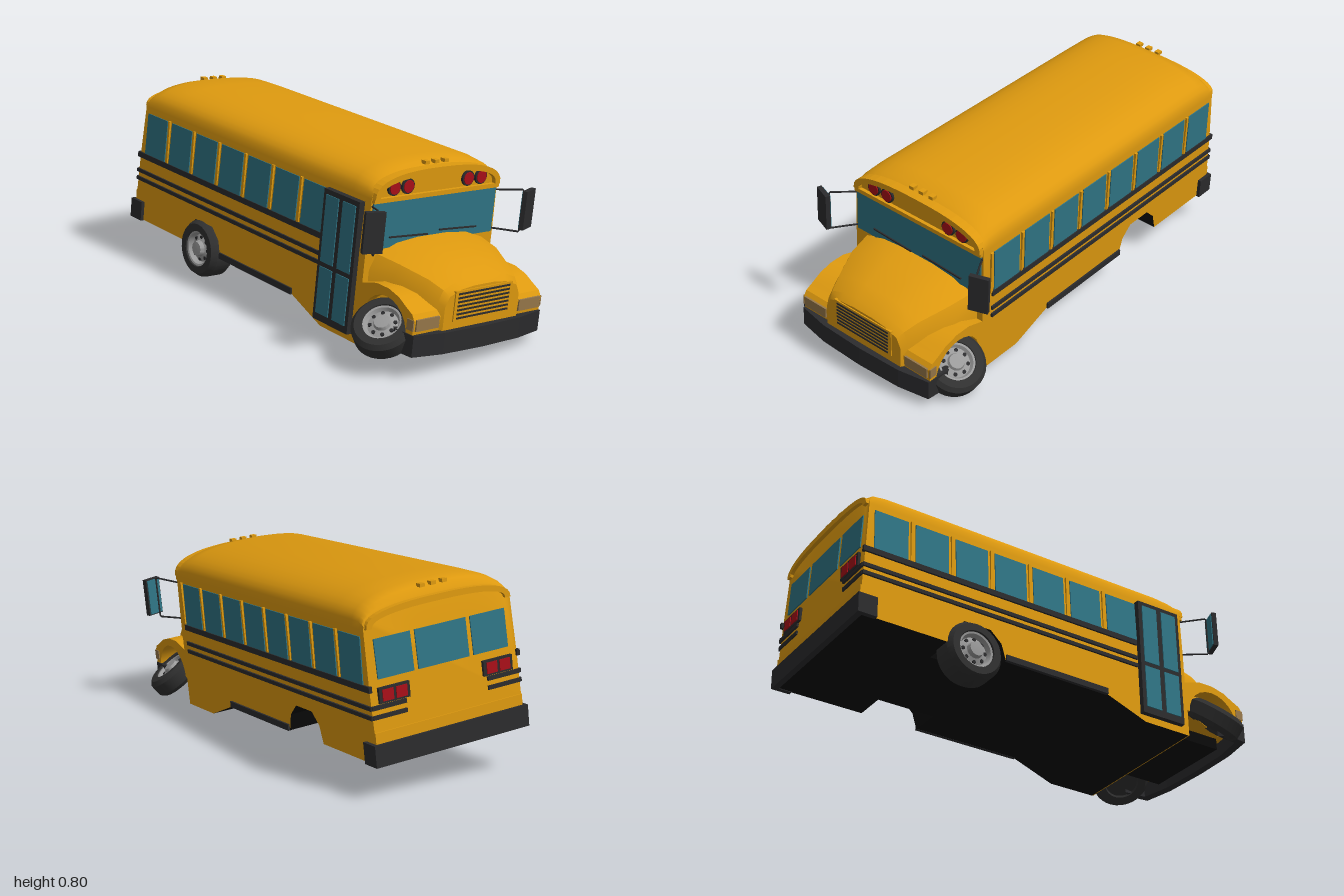
import * as THREE from 'three';
import { toCreasedNormals } from 'three/addons/utils/BufferGeometryUtils.js';

const paint = (name, color) => Object.assign(new THREE.MeshStandardMaterial({ color }), { name });

export function createModel() {
  const yellow = paint('bus yellow', 0xdd990f), glass = paint('teal glass', 0x2f7484);
  const trim = paint('dark trim', 0x2b2b2d), black = paint('underside black', 0x0a0a0a);
  const red = paint('lamp red', 0xa80f18), lens = paint('headlight tan', 0x96774a);
  const rubber = paint('tyre rubber', 0x303030), steel = paint('wheel steel', 0x9a9a9a);

  // Local frame: x across, y up, z forward along the bus
  const bus = new THREE.Group();
  bus.name = 'bus';
  const add = (name, geo, mat, parent = bus) => {
    const m = new THREE.Mesh(geo, mat);
    m.name = name;
    parent.add(m);
    return m;
  };
  const box = (name, mat, w, h, d, x, y, z, parent) => {
    const m = add(name, new THREE.BoxGeometry(w, h, d), mat, parent);
    m.position.set(x, y, z);
    return m;
  };

  // Skin over convex rings, listed back to front, each counterclockwise seen from the front
  const loft = (rings) => {
    const n = rings[0].length, pos = rings.flat(2), idx = [];
    for (let i = 0; i < rings.length - 1; i++) for (let j = 0; j < n; j++) {
      const a = i * n + j, b = i * n + (j + 1) % n;
      idx.push(a, b, a + n, b, b + n, a + n);
    }
    const last = (rings.length - 1) * n;
    for (let j = 1; j < n - 1; j++) idx.push(0, j + 1, j, last, last + j, last + j + 1);
    const g = new THREE.BufferGeometry();
    g.setAttribute('position', new THREE.Float32BufferAttribute(pos, 3));
    g.setIndex(idx);
    return toCreasedNormals(g, 0.6);
  };
  // Side profile in (forward, up), extruded across the bus and ending at x = outer
  const sideExtrude = (pts, depth, outer) => {
    const shape = new THREE.Shape(pts.map(p => new THREE.Vector2(...p)));
    const g = new THREE.ExtrudeGeometry(shape, { depth, bevelEnabled: false });
    return g.rotateY(-Math.PI / 2).translate(outer, 0, 0);
  };

  // Roof arch from the left eave over to the right eave
  const arch = (hw, top, base = 0.64, n = 20) => Array.from({ length: n + 1 }, (_, i) => {
    const a = Math.PI * i / n, c = Math.cos(a), s = Math.max(0, Math.sin(a));
    return [Math.sign(c) * hw * Math.pow(Math.abs(c), 0.78), base + (top - base) * Math.pow(s, 0.78)];
  });

  // Upper body with rounded roof ends and a slightly leaning rear wall
  const ring = (z, top, lean, hw = 0.33) =>
    [[-0.335, 0.25], [0.335, 0.25], [0.335, 0.43], ...arch(hw, top), [-0.335, 0.43]]
      .map(([x, y]) => [x, y, z + lean * (y - 0.25)]);
  add('upperBody', loft([ring(-0.935, 0.69, 0.06), ring(-0.925, 0.725, 0.06), ring(-0.9, 0.75, 0.05),
    ring(-0.84, 0.763, 0.02), ring(-0.7, 0.766, 0), ring(0.5, 0.764, 0), ring(0.57, 0.752, 0),
    ring(0.61, 0.725, 0)]), yellow);

  // Lower body: yellow flanks, black floor and wheel openings
  add('lowerBody', sideExtrude([[-0.935, 0.13], [-0.55, 0.13], [-0.53, 0.2], [-0.48, 0.247], [-0.36, 0.247],
    [-0.31, 0.2], [-0.29, 0.13], [0.2, 0.13], [0.39, 0.06], [0.61, 0.06], [0.61, 0.255], [-0.935, 0.255]],
  0.67, 0.335), [yellow, black]);
  box('rearLowerPanel', yellow, 0.67, 0.125, 0.006, 0, 0.193, -0.937);
  box('frontLowerPanel', yellow, 0.67, 0.195, 0.006, 0, 0.158, 0.612);
  box('axleHousing', black, 0.4, 0.11, 0.3, 0, 0.185, -0.42);
  box('engineBlock', black, 0.4, 0.18, 0.27, 0, 0.22, 0.745);

  // Arched rims on both end caps
  const rim = (name, hw, top, z, depth) => {
    const pts = [...arch(hw, top), ...arch(hw - 0.025, top - 0.025).reverse()];
    const shape = new THREE.Shape(pts.map(p => new THREE.Vector2(...p)));
    add(name, new THREE.ExtrudeGeometry(shape, { depth, bevelEnabled: false }), yellow).position.z = z;
  };
  rim('frontBrow', 0.328, 0.74, 0.585, 0.045);
  rim('rearBrow', 0.325, 0.715, -0.925, 0.03);
  for (const z of [0.585, -0.885]) for (const x of [-0.05, 0, 0.05])
    box('roofMarkerLamp', yellow, 0.022, 0.014, 0.025, x, 0.752, z);

  // Windscreen with wipers
  box('windscreen', glass, 0.645, 0.185, 0.008, 0, 0.53, 0.612);
  box('windscreenHeader', yellow, 0.655, 0.018, 0.03, 0, 0.632, 0.61);
  for (const x of [-0.13, 0.13]) box('wiper', trim, 0.2, 0.006, 0.006, x, 0.475, 0.62).rotation.z = -0.05;

  // Warning lamps on the front cap
  for (const x of [-0.228, -0.158, 0.158, 0.228]) {
    const lamp = (name, r, d, mat) =>
      add(name, new THREE.CylinderGeometry(r, r, d, 20).rotateX(Math.PI / 2), mat).position.set(x, 0.675, 0.612);
    lamp('lampHousing', 0.031, 0.016, trim);
    lamp('warningLamp', 0.025, 0.024, red);
  }

  // Side windows and rub rails; the door shortens the right side
  for (const s of [1, -1]) {
    for (let i = 0; i < (s > 0 ? 8 : 7); i++) {
      const z = -0.813 + i * 0.1836;
      box('sideWindow', glass, 0.008, 0.182, 0.15, s * 0.333, 0.522, z).rotation.z = s * 0.024;
      box('windowPillar', yellow, 0.014, 0.19, 0.012, s * 0.333, 0.522, z + 0.092);
    }
    const front = s > 0 ? 0.56 : 0.36, len = front + 0.935, mid = (front - 0.935) / 2;
    for (const [y, h] of [[0.42, 0.024], [0.348, 0.016], [0.312, 0.016]]) {
      box('rubRail', trim, 0.014, h, len, s * 0.336, y, mid);
      if (y < 0.4) box('rearRubRail', trim, 0.15, h, 0.012, s * 0.26, y, -0.932);
    }
    box('stepRail', trim, 0.014, 0.026, 0.49, s * 0.336, 0.142, -0.045);
    // Tail lamps
    box('tailLampHousing', trim, 0.135, 0.06, 0.016, s * 0.235, 0.39, -0.93);
    for (const x of [0.205, 0.265]) box('tailLamp', red, 0.048, 0.044, 0.02, s * x, 0.39, -0.932);
    // Rear bumper ends
    box('rearBumperEnd', trim, 0.02, 0.085, 0.08, s * 0.34, 0.17, -0.912);
  }
  box('rearBumper', trim, 0.7, 0.085, 0.025, 0, 0.17, -0.941);
  for (const [x, w] of [[-0.215, 0.16], [0, 0.23], [0.215, 0.16]])
    box('rearWindow', glass, w, 0.15, 0.009, x, 0.525, -0.919).rotation.x = 0.06;

  // Folding entrance door
  box('doorFrame', trim, 0.03, 0.53, 0.21, -0.342, 0.355, 0.47);
  for (const z of [0.42, 0.52]) {
    box('doorUpperGlass', glass, 0.008, 0.27, 0.075, -0.357, 0.465, z);
    box('doorLowerGlass', glass, 0.008, 0.19, 0.075, -0.357, 0.215, z);
  }

  // Hood, wide at the windscreen and narrow at the grille
  const hoodRing = (z, hw, low, top) => {
    const h = top - low;
    const half = [[hw, low], [hw, low + h * 0.62], [hw * 0.9, low + h * 0.84], [hw * 0.6, low + h * 0.96], [hw * 0.25, top]];
    return [...half, ...half.map(([x, y]) => [-x, y]).reverse()].map(([x, y]) => [x, y, z]);
  };
  add('hood', loft([hoodRing(0.6, 0.31, 0.18, 0.465), hoodRing(0.72, 0.285, 0.18, 0.45), hoodRing(0.84, 0.235, 0.18, 0.415),
    hoodRing(0.9, 0.21, 0.18, 0.385), hoodRing(0.925, 0.195, 0.18, 0.36)]), yellow);
  box('grillePanel', yellow, 0.3, 0.12, 0.012, 0, 0.29, 0.924);
  for (let i = 0; i < 7; i++) box('grilleSlot', trim, 0.27, 0.007, 0.008, 0, 0.242 + i * 0.016, 0.929);

  // Fenders with round wheel openings and headlights
  const opening = Array.from({ length: 13 }, (_, i) => {
    const a = Math.PI * i / 12;
    return [0.752 + 0.125 * Math.cos(a), 0.18 + 0.122 * Math.sin(a)];
  });
  const fender = [[0.61, 0.18], ...opening.reverse(), [0.91, 0.18], [0.915, 0.255], [0.9, 0.278], [0.86, 0.298],
    [0.82, 0.32], [0.76, 0.335], [0.69, 0.335], [0.61, 0.31]];
  for (const s of [1, -1]) {
    add('fender', toCreasedNormals(sideExtrude(fender, 0.17, s > 0 ? 0.335 : -0.165), 0.5), yellow);
    box('headlight', lens, 0.115, 0.045, 0.008, s * 0.268, 0.237, 0.916);
    box('headlightSide', lens, 0.006, 0.042, 0.035, s * 0.336, 0.237, 0.897);
  }

  // Front bumper: a bowed bar with swept ends
  const bar = [-0.345, -0.335, -0.2, 0, 0.2, 0.335, 0.345].map((x, i) => [x, [0.82, 0.92, 0.945, 0.952, 0.945, 0.92, 0.82][i]]);
  const bumper = new THREE.Shape([...bar, ...bar.map(([x, z]) => [x * 0.92, z - 0.035]).reverse()]
    .map(([x, z]) => new THREE.Vector2(x, -z)));
  add('frontBumper', new THREE.ExtrudeGeometry(bumper, { depth: 0.085, bevelEnabled: false })
    .rotateX(-Math.PI / 2).translate(0, 0.115, 0), trim);

  // Mirrors on tube brackets
  for (const s of [1, -1]) {
    const path = new THREE.CurvePath();
    const pts = [[0.325, 0.61, 0.61], [0.385, 0.63, 0.71], [0.385, 0.455, 0.71], [0.325, 0.45, 0.61]]
      .map(([x, y, z]) => new THREE.Vector3(s * x, y, z));
    for (let i = 0; i < 3; i++) path.add(new THREE.LineCurve3(pts[i], pts[i + 1]));
    add('mirrorBracket', new THREE.TubeGeometry(path, 40, 0.004, 6), trim);
    const mirror = new THREE.Group();
    mirror.name = 'mirror';
    mirror.position.set(s * 0.405, 0.55, 0.72);
    mirror.rotation.y = s * 0.35;
    box('mirrorShell', trim, 0.08, 0.16, 0.02, 0, 0, 0, mirror);
    box('mirrorGlass', glass, 0.07, 0.15, 0.006, 0, 0, -0.011, mirror);
    bus.add(mirror);
  }

  // Wheels: splayed front pair and a single right rear wheel
  const lathe = pts => toCreasedNormals(new THREE.LatheGeometry(pts.map(p => new THREE.Vector2(...p)), 32), 0.6);
  const wheel = (name, pos, axis, h) => {
    const g = new THREE.Group();
    g.name = name;
    add('tyre', lathe([[0, -h * 0.8], [0.07, -h * 0.8], [0.075, -h], [0.108, -h], [0.124, -h * 0.6], [0.124, h * 0.6],
      [0.108, h], [0.078, h], [0.07, h * 0.6]]), rubber, g);
    add('rim', lathe([[0.078, h * 0.9], [0.068, h * 0.85], [0.06, h * 0.5], [0.035, h * 0.7], [0.03, h], [0, h * 1.05]]), steel, g);
    for (let i = 0; i < 8; i++) {
      const a = i * Math.PI / 4;
      add('rimHole', new THREE.CylinderGeometry(0.008, 0.008, 0.006, 8), trim, g)
        .position.set(0.049 * Math.cos(a), h * 0.6, 0.049 * Math.sin(a));
    }
    g.position.set(...pos);
    g.quaternion.setFromUnitVectors(new THREE.Vector3(0, 1, 0), new THREE.Vector3(...axis).normalize());
    bus.add(g);
  };
  wheel('frontLeftWheel', [0.32, 0.178, 0.757], [0.54, 0.82, 0.2], 0.043);
  wheel('frontRightWheel', [-0.335, 0.178, 0.757], [-0.58, 0.78, 0.22], 0.043);
  wheel('rearRightWheel', [-0.295, 0.13, -0.435], [-1, 0, 0], 0.06);

  // The whole bus stands askew: turned, nose down and leaning to its left
  const F = new THREE.Vector3(0.347, -0.043, 0.937).normalize();
  const U = F.clone().cross(new THREE.Vector3(0.935, -0.085, -0.35)).normalize();
  const X = U.clone().cross(F);
  bus.quaternion.setFromRotationMatrix(new THREE.Matrix4().makeBasis(X, U, F));
  bus.position.set(-0.028, 0.002, 0.01);
  const model = new THREE.Group();
  model.name = 'schoolBus';
  model.add(bus);
  return model;
}
